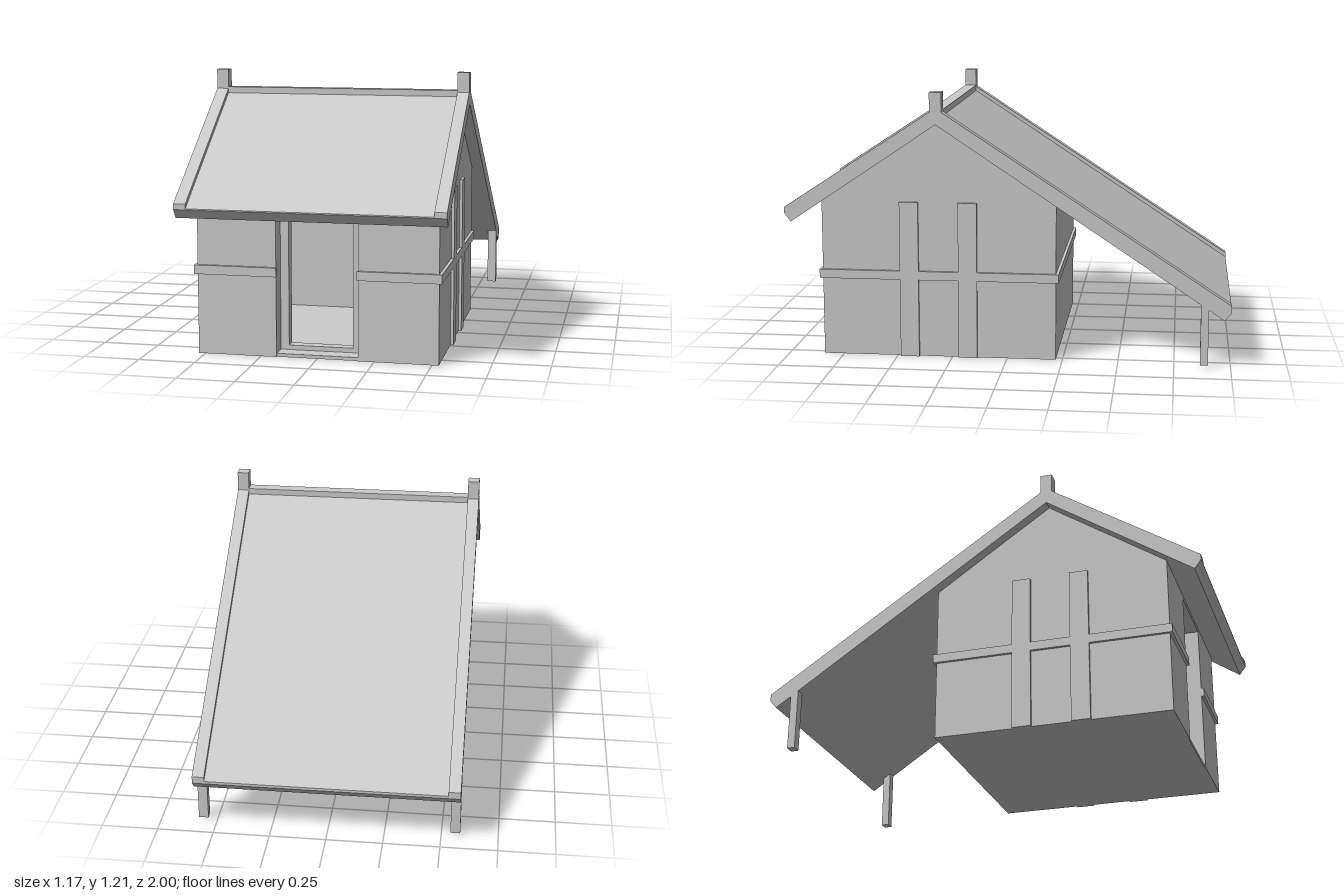
import * as THREE from 'three';

const material = new THREE.MeshStandardMaterial({ color: 0xcccccc, flatShading: true });

// Ridge position, roof pitch, and wall extents
const RIDGE_Z = 0.31;
const FRONT = 0.84, BACK = -0.22, HALF = 0.53, WALL = 0.13, EAVE = 0.71;

export function createModel() {
  const group = new THREE.Group();
  group.name = 'house';

  const add = (name, geometry) => {
    const mesh = new THREE.Mesh(geometry, material);
    mesh.name = name;
    group.add(mesh);
    return mesh;
  };

  // Box given by its limits on each axis
  const box = (name, x0, x1, y0, y1, z0, z1) => {
    const g = new THREE.BoxGeometry(Math.abs(x1 - x0), y1 - y0, z1 - z0);
    g.translate((x0 + x1) / 2, (y0 + y1) / 2, (z0 + z1) / 2);
    return add(name, g);
  };

  // Side profile of [z, y] points, extruded along x
  const slab = (name, points, x0, x1) => {
    const shape = new THREE.Shape(points.map(([z, y]) => new THREE.Vector2(-z, y)));
    const g = new THREE.ExtrudeGeometry(shape, { depth: x1 - x0, bevelEnabled: false });
    g.rotateY(Math.PI / 2).translate(x0, 0, 0);
    return add(name, g);
  };

  // Roof profile, with its top surface lowered by drop
  const roofProfile = (drop) => [
    [RIDGE_Z, 1.138 - drop], [1, 0.685 - drop], [1, 0.66], [0.97, 0.62],
    [RIDGE_Z, 1.065], [-0.97, 0.215], [-1, 0.25], [-1, 0.282 - drop],
  ];

  // Front wall with the door opening
  const wall = new THREE.Shape([
    [-HALF, 0], [-0.18, 0], [-0.18, 0.69], [0.18, 0.69], [0.18, 0],
    [HALF, 0], [HALF, EAVE], [-HALF, EAVE],
  ].map(([x, y]) => new THREE.Vector2(x, y)));
  const wallGeometry = new THREE.ExtrudeGeometry(wall, { depth: WALL, bevelEnabled: false });
  add('frontWall', wallGeometry.translate(0, 0, FRONT - WALL));

  // Door frame set back in the opening
  const frame = new THREE.Shape([
    [-0.18, 0], [0.18, 0], [0.18, 0.69], [-0.18, 0.69],
  ].map(([x, y]) => new THREE.Vector2(x, y)));
  frame.holes.push(new THREE.Path([
    [-0.143, 0.035], [-0.143, 0.655], [0.143, 0.655], [0.143, 0.035],
  ].map(([x, y]) => new THREE.Vector2(x, y))));
  const frameGeometry = new THREE.ExtrudeGeometry(frame, { depth: 0.05, bevelEnabled: false });
  add('doorFrame', frameGeometry.translate(0, 0, 0.71));

  // Back wall and floor
  box('backWall', -HALF, HALF, 0, EAVE, BACK, BACK + WALL);
  box('floor', -HALF + 0.01, HALF - 0.01, 0, 0.015, BACK + 0.01, FRONT - 0.005);

  // Roof panel and ridge beam
  slab('roofPanel', roofProfile(0.02), -HALF, HALF);
  box('ridgeBeam', -HALF, HALF, 1.08, 1.128, 0.283, 0.337);

  // Wall band across the back
  box('backBand', -0.543, 0.543, 0.355, 0.395, BACK - 0.013, BACK);

  for (const s of [-1, 1]) {
    const side = s > 0 ? 'left' : 'right';
    const span = (a, b) => (s > 0 ? [a, b] : [-b, -a]);

    // Gable wall
    slab(side + 'GableWall', [
      [FRONT, 0], [FRONT, EAVE], [RIDGE_Z, 1.067], [BACK, EAVE], [BACK, 0],
    ], ...span(HALF - WALL, HALF));

    // Raised roof edge, ridge post and rear support
    slab(side + 'Bargeboard', roofProfile(0), ...span(HALF, 0.583));
    box(side + 'RidgePost', ...span(HALF, 0.583), 1.08, 1.208, 0.283, 0.337);
    box(side + 'RearPost', ...span(0.54, 0.583), 0.01, 0.29, -0.9, -0.865);

    // Bands on the side and beside the door
    box(side + 'SideBand', ...span(HALF, 0.543), 0.355, 0.395, BACK - 0.013, FRONT + 0.013);
    box(side + 'FrontBand', ...span(0.177, 0.543), 0.355, 0.395, FRONT, FRONT + 0.013);

    // Upright boards on the gable
    for (const z of [0.135, 0.4]) {
      box(side + 'Board', ...span(HALF, 0.543), 0, 0.71, z, z + 0.085);
    }
  }

  return group;
}
